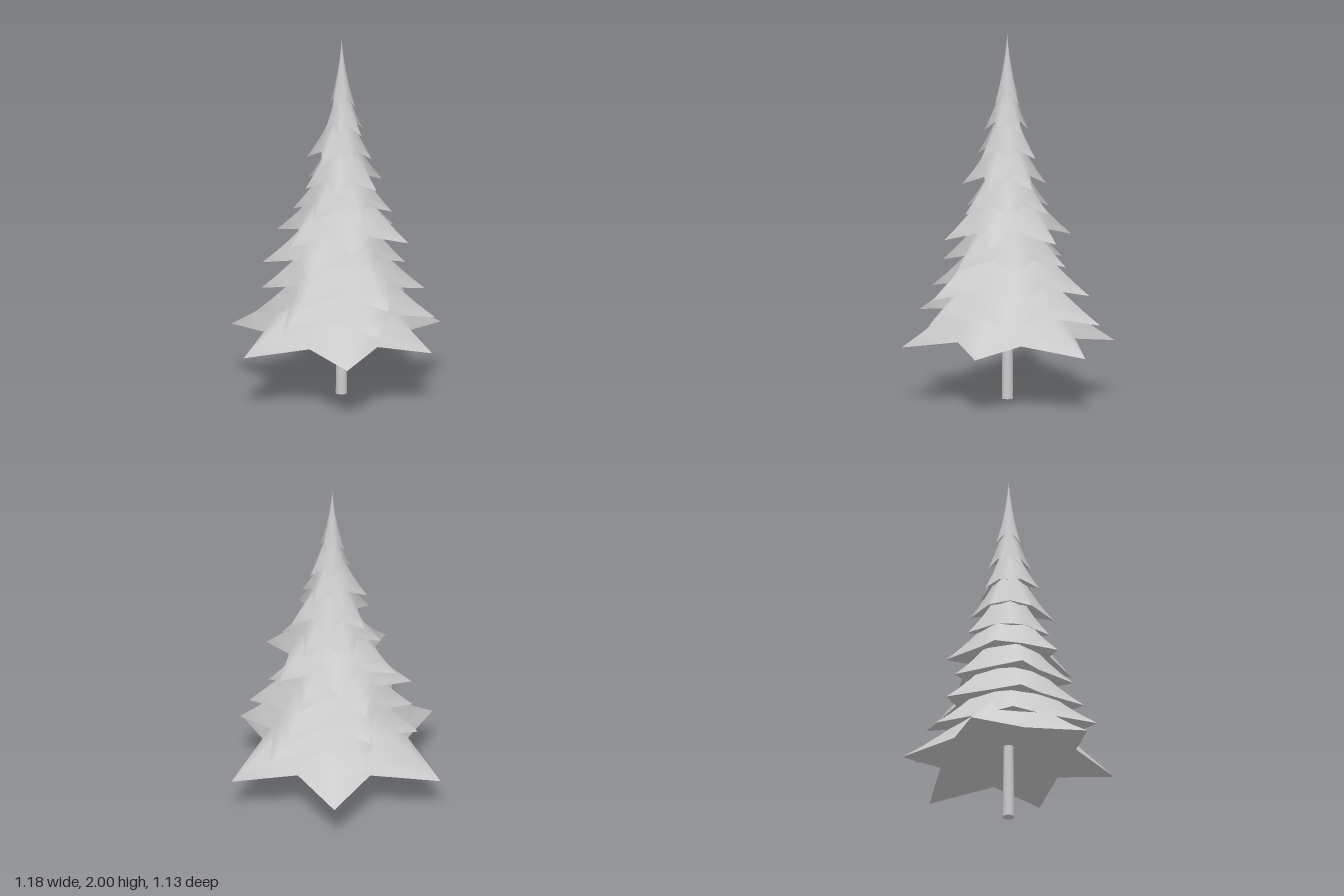
import * as THREE from 'three';

const CENTER_X = 0.061;
const POINTS = 6;
const COLUMNS = POINTS * 2;
const RINGS = 8;

// One entry per tier, bottom to top: angle of the first tip, six tip radii
const TIERS = [
  { angle: 14.5, radii: [0.55, 0.584, 0.633, 0.67, 0.592, 0.638] },
  { angle: 54, radii: [0.5, 0.54, 0.468, 0.47, 0.57, 0.507] },
  { angle: 48, radii: [0.513, 0.44, 0.435, 0.435, 0.48, 0.45] },
  { angle: 47, radii: [0.347, 0.375, 0.43, 0.38, 0.34, 0.345] },
  { angle: 8.5, radii: [0.39, 0.36, 0.36, 0.374, 0.36, 0.36] },
  { angle: 54, radii: [0.27, 0.25, 0.266, 0.266, 0.25, 0.275] },
  { angle: 23, radii: [0.233, 0.245, 0.216, 0.22, 0.21, 0.24] },
  { angle: 54, radii: [0.168, 0.185, 0.19, 0.155, 0.175, 0.165] },
  { angle: 22, radii: [0.13, 0.125, 0.11, 0.105, 0.115, 0.13] },
  { angle: 0, radii: [0.075, 0.075, 0.075, 0.068, 0.075, 0.075] },
];

// Concave cone whose rim spreads into a drooping six-pointed star, closed underneath
function tierGeometry({ angle, radii }, y, height) {
  const positions = [];
  const indices = [];

  const rimPoint = (column, t) => {
    const tip = Math.floor(column / 2);
    const isValley = column % 2 === 1;
    const theta = THREE.MathUtils.degToRad(angle + column * 30);
    const reach = isValley ? (radii[tip] + radii[(tip + 1) % POINTS]) / 2 : radii[tip];
    const r = reach * (0.4 * t + 0.6 * t * t) * (isValley ? 1 - 0.37 * t * t : 1);
    const lift = isValley ? 0.05 * t * t * t : 0;
    return [Math.cos(theta) * r, y + height * (1 - t) + lift, Math.sin(theta) * r];
  };

  // Outer needles surface, from the apex down to the rim
  for (let i = 0; i <= RINGS; i++) {
    for (let j = 0; j < COLUMNS; j++) positions.push(...rimPoint(j, i / RINGS));
  }
  for (let i = 0; i < RINGS; i++) {
    for (let j = 0; j < COLUMNS; j++) {
      const next = (j + 1) % COLUMNS;
      const a = i * COLUMNS + j, b = i * COLUMNS + next;
      const c = a + COLUMNS, d = b + COLUMNS;
      if (i > 0) indices.push(a, b, c);
      indices.push(b, d, c);
    }
  }

  // Hollowed underside, with its own vertices so that the rim stays sharp
  const center = positions.length / 3;
  positions.push(0, y + 0.2 * height, 0);
  for (let j = 0; j < COLUMNS; j++) positions.push(...rimPoint(j, 1));
  for (let j = 0; j < COLUMNS; j++) {
    indices.push(center, center + 1 + j, center + 1 + ((j + 1) % COLUMNS));
  }

  const geometry = new THREE.BufferGeometry();
  geometry.setAttribute('position', new THREE.Float32BufferAttribute(positions, 3));
  geometry.setIndex(indices);
  geometry.computeVertexNormals();
  return geometry;
}

export function createModel() {
  const model = new THREE.Group();
  model.name = 'pineTree';

  const paleGrey = new THREE.MeshStandardMaterial({ color: 0xcccccc });
  paleGrey.name = 'paleGrey';

  // Trunk
  const trunk = new THREE.Mesh(new THREE.CylinderGeometry(0.027, 0.031, 0.5, 16), paleGrey);
  trunk.name = 'trunk';
  trunk.position.set(CENTER_X - 0.002, 0.25, 0.003);
  model.add(trunk);

  // Branch tiers, evenly spaced and shrinking upwards; the top one ends at the tree's tip
  const branches = new THREE.Group();
  branches.name = 'branches';
  branches.position.set(CENTER_X, 0, 0.004);
  TIERS.forEach((tier, i) => {
    const mesh = new THREE.Mesh(tierGeometry(tier, 0.3 + 0.147 * i, 0.62 - 0.027 * i), paleGrey);
    mesh.name = `branchTier${i + 1}`;
    branches.add(mesh);
  });
  model.add(branches);

  return model;
}
